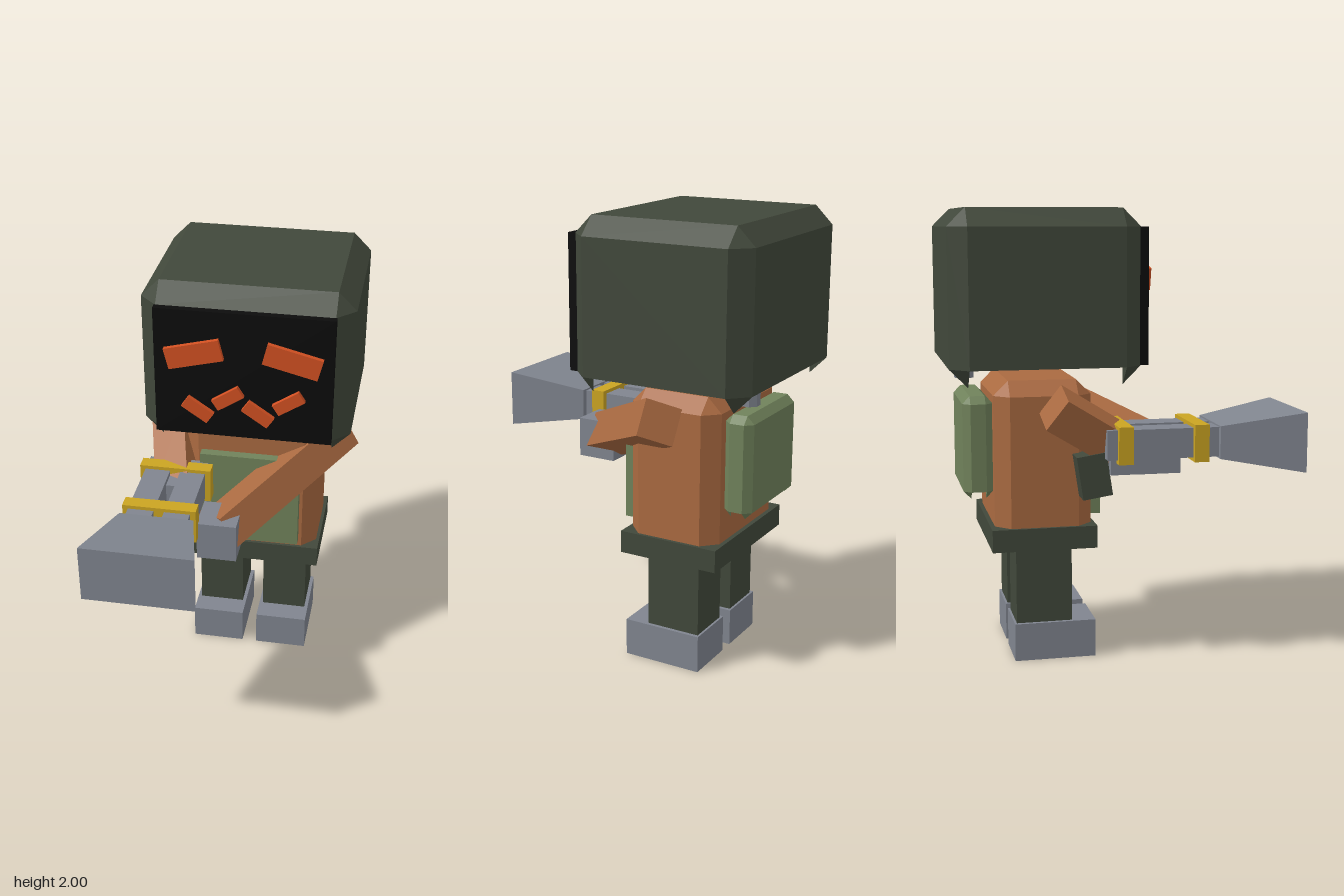
import * as THREE from 'three';
import { mergeGeometries } from 'three/addons/utils/BufferGeometryUtils.js';
import { ConvexGeometry } from 'three/addons/geometries/ConvexGeometry.js';

const V = (x, y, z) => new THREE.Vector3(x, y, z);
const material = (name, color) => {
  const m = new THREE.MeshStandardMaterial({ color });
  m.name = name;
  return m;
};

export function createModel() {
  const darkGreen = material('dark green', 0x41483b);
  const black = material('black', 0x0c0c0c);
  const orange = material('orange', 0xd25022);
  const brown = material('brown', 0xaa6a41);
  const green = material('moss green', 0x70825b);
  const grey = material('grey', 0x80858f);
  const yellow = material('yellow', 0xcba422);

  const model = new THREE.Group();
  model.name = 'figure';

  const add = (name, geometry, mat, parent = model) => {
    const mesh = new THREE.Mesh(geometry, mat);
    mesh.name = name;
    parent.add(mesh);
    return mesh;
  };

  // Plain box given by its limits
  const box = (name, mat, [x0, x1], [y0, y1], [z0, z1], parent) => {
    const mesh = add(name, new THREE.BoxGeometry(x1 - x0, y1 - y0, z1 - z0), mat, parent);
    mesh.position.set((x0 + x1) / 2, (y0 + y1) / 2, (z0 + z1) / 2);
    return mesh;
  };

  // Chamfered box with a raised flat underside and a pointed tip below each corner
  const chamferBox = (name, mat, [x0, x1], [y0, y1], [z0, z1], b) => {
    const hull = [], tips = [];
    for (const [x, ix] of [[x0, x0 + b], [x1, x1 - b]]) {
      for (const [z, iz] of [[z0, z0 + b], [z1, z1 - b]]) {
        hull.push(V(ix, y1, iz));
        for (const y of [y0 + b, y1 - b]) hull.push(V(x, y, iz), V(ix, y, z));
        tips.push(new ConvexGeometry([
          V(x, y0 + b, iz), V(ix, y0 + b, z), V(ix, y0 + b, iz), V(ix, y0, iz),
        ]));
      }
    }
    return add(name, mergeGeometries([new ConvexGeometry(hull), ...tips]), mat);
  };

  // Square beam between two points, rolled so one side follows the given direction
  const beam = (name, mat, from, to, side, size) => {
    const z = to.clone().sub(from), length = z.length();
    z.normalize();
    const x = side.clone().addScaledVector(z, -side.dot(z)).normalize();
    const y = z.clone().cross(x);
    const mesh = add(name, new THREE.BoxGeometry(size, size, length), mat);
    mesh.quaternion.setFromRotationMatrix(new THREE.Matrix4().makeBasis(x, y, z));
    mesh.position.copy(from).lerp(to, 0.5);
  };

  // Head with face plate
  const midX = 0.043;
  chamferBox('head', darkGreen, [-0.42, 0.505], [1.25, 2], [-0.76, 0.065], 0.08);
  box('facePlate', black, [-0.345, 0.43], [1.33, 1.92], [0.04, 0.098]);

  // Slanted eyes and zigzag mouth
  const facePiece = (name, x, y, w, h, degrees) => {
    const mesh = add(name, new THREE.BoxGeometry(w, h, 0.024), orange);
    mesh.position.set(x, y, 0.108);
    mesh.rotation.z = THREE.MathUtils.degToRad(degrees);
  };
  for (const s of [-1, 1]) facePiece(s < 0 ? 'rightEye' : 'leftEye', midX + s * 0.213, 1.725, 0.245, 0.097, -14 * s);
  for (const x of [-0.155, 0.11]) {
    facePiece('mouthFall', x, 1.46, 0.135, 0.058, -34);
    facePiece('mouthRise', x + 0.133, 1.525, 0.135, 0.055, 33);
  }

  // Torso, chest plate, belt and backpack
  chamferBox('torso', brown, [-0.27, 0.355], [0.5, 1.26], [-0.56, -0.13], 0.065);
  box('chestPlate', green, [-0.19, 0.275], [0.65, 1.11], [-0.14, -0.085]);
  box('belt', darkGreen, [-0.285, 0.37], [0.515, 0.615], [-0.58, -0.115]);
  chamferBox('backpack', green, [-0.19, 0.28], [0.735, 1.19], [-0.69, -0.558], 0.033);

  // Air tube between head and backpack
  const tube = add('airTube', new THREE.CylinderGeometry(0.046, 0.046, 0.17, 8).toNonIndexed(), grey);
  tube.geometry.rotateY(Math.PI / 8);
  tube.geometry.computeVertexNormals();
  tube.position.set(0.207, 1.315, -0.645);

  // Legs and boots
  for (const s of [-1, 1]) {
    const leg = new THREE.Group();
    leg.name = s < 0 ? 'rightLeg' : 'leftLeg';
    leg.position.x = midX + s * 0.158;
    model.add(leg);
    box('trouser', darkGreen, [-0.106, 0.106], [0.16, 0.5], [-0.47, -0.22], leg);
    box('boot', grey, [-0.123, 0.123], [0, 0.17], [-0.48, -0.115], leg);
  }

  // Arms and hands
  beam('leftArm', brown, V(0.436, 1.165, -0.345), V(-0.041, 0.9, 0.21), V(0.08, -0.14, 0), 0.163);
  box('leftHand', grey, [-0.13, 0.048], [0.805, 0.988], [0.12, 0.305]);
  beam('rightArm', brown, V(-0.362, 1.16, -0.32), V(-0.28, 0.96, 0), V(0.155, 0.05, 0), 0.16);
  box('rightHand', grey, [-0.4, -0.22], [0.862, 1.04], [-0.08, 0.1]);

  // Twin-barrelled blaster with bands, grip and flared muzzle
  for (const x of [-0.428, -0.265]) box('barrel', grey, [x, x + 0.116], [0.932, 1.062], [-0.1, 0.4]);
  for (const z of [-0.055, 0.28]) box('band', yellow, [-0.453, -0.123], [0.915, 1.078], [z, z + 0.065]);
  box('grip', darkGreen, [-0.375, -0.235], [0.76, 0.95], [-0.21, -0.078]).rotation.x = -0.15;
  const muzzle = [];
  for (const [z, w, h] of [[0.395, 0.165, 0.072], [0.76, 0.247, 0.132]]) {
    for (const sx of [-1, 1]) for (const sy of [-1, 1]) muzzle.push(V(-0.288 + sx * w, 0.997 + sy * h, z));
  }
  add('muzzle', new ConvexGeometry(muzzle), grey);

  return model;
}
